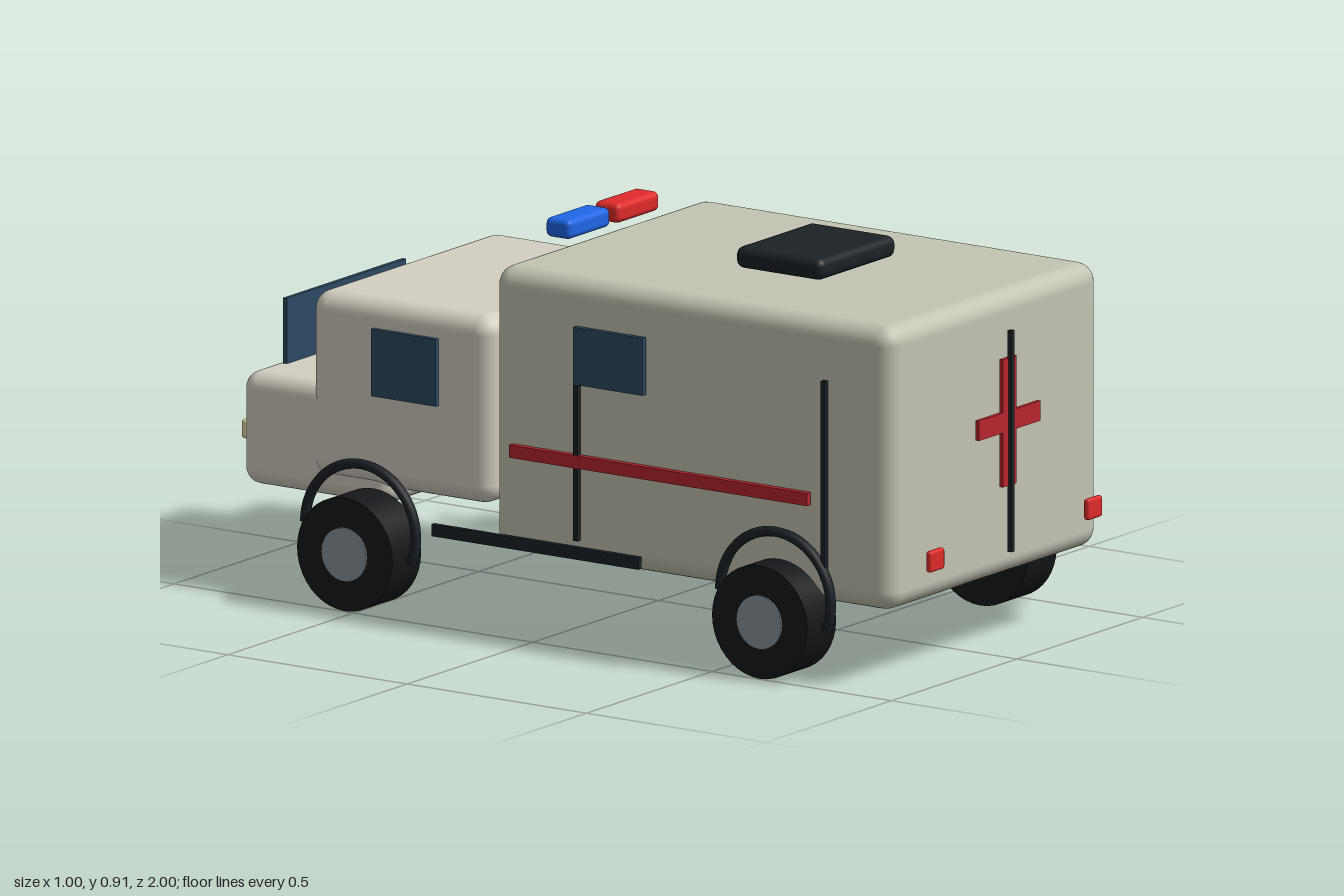
import * as THREE from 'three';
import { RoundedBoxGeometry } from 'three/addons/geometries/RoundedBoxGeometry.js';

const paint = (color) => new THREE.MeshStandardMaterial({ color });

export function createModel() {
  const model = new THREE.Group();
  model.name = 'ambulance';

  const mat = {
    body: paint(0xc4c4b4), cab: paint(0xd4cfc2), black: paint(0x1c2126), tyre: paint(0x15171a),
    hub: paint(0x8a949c), glass: paint(0x2c4a63), red: paint(0xb8252e), redLamp: paint(0xe02b2b),
    blueLamp: paint(0x1f66e5), headlamp: paint(0xe3d6a4),
  };

  // Box given by its extents on each axis; a radius rounds its edges
  function box(name, material, [x0, x1], [y0, y1], [z0, z1], radius = 0) {
    const size = [x1 - x0, y1 - y0, z1 - z0];
    const geometry = radius
      ? new RoundedBoxGeometry(...size, 4, radius)
      : new THREE.BoxGeometry(...size);
    const mesh = new THREE.Mesh(geometry, material);
    mesh.name = name;
    mesh.position.set((x0 + x1) / 2, (y0 + y1) / 2, (z0 + z1) / 2);
    model.add(mesh);
  }

  // The same box on both sides
  function pair(name, material, [x0, x1], y, z, radius) {
    box(name + 'Left', material, [x0, x1], y, z, radius);
    box(name + 'Right', material, [-x1, -x0], y, z, radius);
  }

  // Main volumes
  box('rearBody', mat.body, [-0.418, 0.418], [0.178, 0.845], [-0.172, 0.942], 0.045);
  box('cab', mat.cab, [-0.366, 0.366], [0.26, 0.702], [-0.72, -0.212], 0.045);
  box('hood', mat.cab, [-0.357, 0.357], [0.218, 0.483], [-0.918, -0.5], 0.04);

  // Roof hatch and light bar
  box('roofHatch', mat.black, [-0.153, 0.153], [0.854, 0.905], [0.317, 0.56], 0.02);
  box('redBeacon', mat.redLamp, [0.012, 0.18], [0.864, 0.91], [-0.19, -0.12], 0.014);
  box('blueBeacon', mat.blueLamp, [-0.183, -0.015], [0.864, 0.91], [-0.19, -0.12], 0.014);

  // Door end: cross, door seam and tail lamps
  box('crossUpright', mat.red, [-0.027, 0.027], [0.405, 0.705], [0.97, 0.98]);
  box('crossBar', mat.red, [-0.123, 0.123], [0.533, 0.58], [0.97, 0.9795]);
  box('doorSeam', mat.black, [-0.006, 0.006], [0.25, 0.77], [0.978, 0.988]);
  pair('tailLamp', mat.redLamp, [0.285, 0.343], [0.268, 0.318], [0.984, 1], 0.007);

  // Hood end: windscreen, grille and headlamps
  box('windscreen', mat.glass, [-0.237, 0.237], [0.478, 0.637], [-0.88, -0.87]);
  box('grille', mat.black, [-0.202, 0.202], [0.325, 0.418], [-0.984, -0.974]);
  pair('headlamp', mat.headlamp, [0.155, 0.235], [0.29, 0.335], [-1, -0.982], 0.007);

  // Side trim
  pair('bodyWindow', mat.glass, [0.424, 0.437], [0.602, 0.737], [0.068, 0.262]);
  pair('cabWindow', mat.glass, [0.366, 0.377], [0.48, 0.638], [-0.537, -0.357]);
  pair('sideStripe', mat.red, [0.422, 0.437], [0.406, 0.436], [-0.11, 0.72]);
  pair('sideStep', mat.black, [0.424, 0.437], [0.192, 0.22], [-0.327, 0.25]);
  pair('rearSeam', mat.black, [0.425, 0.436], [0.235, 0.705], [0.758, 0.77]);
  pair('frontSeam', mat.black, [0.425, 0.436], [0.235, 0.705], [0.068, 0.08]);

  // Wheels with outer hub caps, and hoop-shaped arches
  const tyreGeo = new THREE.CylinderGeometry(0.133, 0.133, 0.114, 40).rotateZ(Math.PI / 2);
  const hubGeo = new THREE.CylinderGeometry(0.063, 0.063, 0.02, 32).rotateZ(Math.PI / 2);
  const archGeo = new THREE.TorusGeometry(0.154, 0.012, 10, 40, Math.PI * 1.13).rotateY(Math.PI / 2);
  for (const side of [1, -1]) {
    for (const z of [0.63, -0.527]) {
      const wheel = new THREE.Group();
      wheel.name = (z > 0 ? 'rear' : 'front') + 'Wheel' + (side > 0 ? 'Left' : 'Right');
      const parts = [
        ['tyre', tyreGeo, mat.tyre, 0.439, 0.133],
        ['hubCap', hubGeo, mat.hub, 0.49, 0.133],
        ['wheelArch', archGeo, mat.black, 0.433, 0.179],
      ];
      for (const [name, geometry, material, x, y] of parts) {
        const mesh = new THREE.Mesh(geometry, material);
        mesh.name = name;
        mesh.position.set(side * x, y, z);
        wheel.add(mesh);
      }
      model.add(wheel);
    }
  }
  return model;
}
